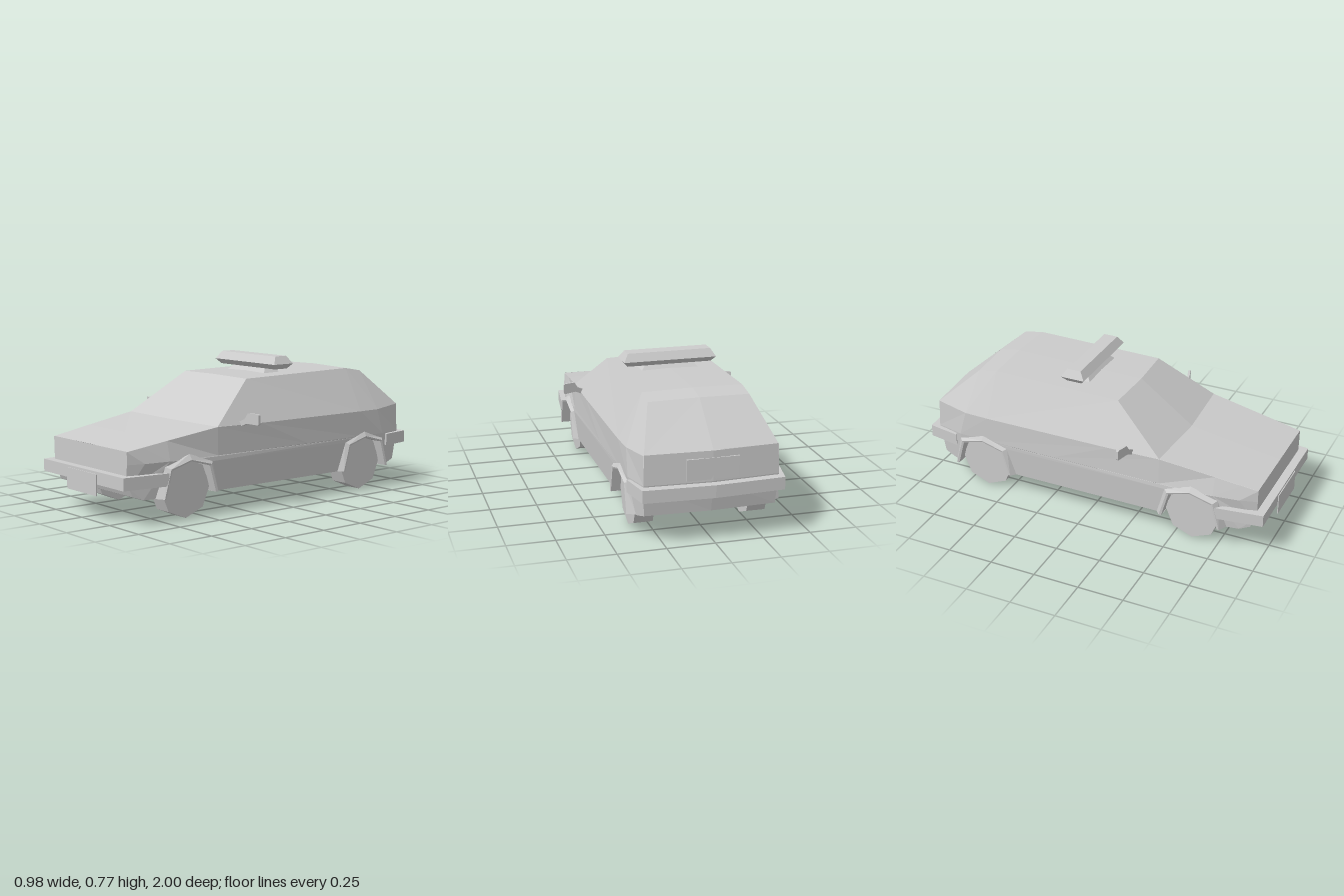
import * as THREE from 'three';
import { ConvexGeometry } from 'three/addons/geometries/ConvexGeometry.js';

const FLOOR = 0.125, CREASE = 0.31, AXLES = [0.6, -0.635];
const mat = new THREE.MeshStandardMaterial({ color: 0xcccccc, flatShading: true });
const shell = new THREE.MeshStandardMaterial({ color: 0xcccccc, flatShading: true, side: THREE.DoubleSide });

// Half width of the lower body at a given length and height
const WIDTHS = [[-0.94, 0.348], [-0.78, 0.388], [-0.2, 0.392], [0.42, 0.39], [0.72, 0.382], [0.86, 0.362], [0.95, 0.335]];
function sideX(z, y) {
  let i = 1;
  while (i < WIDTHS.length - 1 && z > WIDTHS[i][0]) i++;
  const [z0, x0] = WIDTHS[i - 1], [z1, x1] = WIDTHS[i];
  const t = THREE.MathUtils.clamp((z - z0) / (z1 - z0), 0, 1);
  return x0 + (x1 - x0) * t - 0.016 * Math.max(0, (CREASE - y) / (CREASE - FLOOR));
}

// Surface through rows of points
function sheet(rows) {
  const n = rows[0].length, index = [];
  for (let r = 0; r < rows.length - 1; r++)
    for (let c = 0; c < n - 1; c++) {
      const a = r * n + c, b = a + n;
      index.push(a, b, a + 1, a + 1, b, b + 1);
    }
  const g = new THREE.BufferGeometry();
  g.setAttribute('position', new THREE.Float32BufferAttribute(rows.flat(2), 3));
  g.setIndex(index);
  g.computeVertexNormals();
  return g;
}

// Moves every vertex of a geometry by a rule
function remap(g, rule) {
  const p = g.attributes.position;
  for (let i = 0; i < p.count; i++) p.setXYZ(i, ...rule(p.getX(i), p.getY(i), p.getZ(i)));
  g.computeVertexNormals();
  return g;
}

const shapeOf = pts => new THREE.Shape(pts.map(p => new THREE.Vector2(...p)));

// Five point wheel arch outline as [z, y]
const arch = (z, foot, shoulder, sy, top) =>
  [[z + foot, FLOOR], [z + shoulder, sy], [z, top], [z - shoulder, sy], [z - foot, FLOOR]];
const outerArch = z => arch(z, 0.19, 0.145, 0.283, 0.335 - 0.03);

// Convex block made of horizontal rectangles [halfX, y, zBack, zFront]
function block(levels) {
  const pts = [];
  for (const [x, y, z0, z1] of levels)
    for (const s of [-1, 1]) pts.push(new THREE.Vector3(s * x, y, z0), new THREE.Vector3(s * x, y, z1));
  return new ConvexGeometry(pts);
}

// Flat bumper outline in x and z, raised to a height
function bumperGeometry(half, y, height) {
  const outline = [...half, ...half.filter(p => p[0] > 0).reverse().map(([x, z]) => [-x, z])];
  const g = new THREE.ExtrudeGeometry(shapeOf(outline.map(([x, z]) => [x, -z])), { depth: height, bevelEnabled: false });
  return g.rotateX(-Math.PI / 2).translate(0, y, 0);
}

export function createModel() {
  const car = new THREE.Group();
  car.name = 'car';
  const add = (name, geometry, material = mat) => {
    const m = new THREE.Mesh(geometry, material);
    m.name = name;
    car.add(m);
    return m;
  };

  // Upper body sections: z of crease, belt corner, upper edge, centre line
  const sections = [
    [0.95, [0.335, 0.375, 0.95], [0.334, 0.376, 0.95], [0, 0.378, 0.95]],
    [0.86, [0.344, 0.389, 0.86], [0.343, 0.39, 0.86], [0, 0.392, 0.862]],
    [0.72, [0.357, 0.411, 0.72], [0.356, 0.412, 0.72], [0, 0.414, 0.727]],
    [0.42, [0.387, 0.456, 0.42], [0.386, 0.457, 0.42], [0, 0.46, 0.445]],
    [-0.2, [0.39, 0.452, 0.13], [0.266, 0.674, 0.13], [0, 0.68, 0.145]],
    [-0.6, [0.39, 0.45, -0.6], [0.266, 0.684, -0.6], [0, 0.69, -0.605]],
    [-0.78, [0.385, 0.45, -0.74], [0.266, 0.664, -0.71], [0, 0.67, -0.72]],
    [-0.935, [0.346, 0.463, -0.93], [0.345, 0.465, -0.93], [0, 0.47, -0.95]],
  ];

  for (const s of [1, -1]) {
    const side = s > 0 ? 'left' : 'right';
    add(side + 'UpperBody', sheet(sections.map(([z, ...pts]) =>
      [[sideX(z, CREASE), CREASE, z], ...pts].map(([x, y, pz]) => [s * x, y, pz]))), shell);

    // Lower flank with open wheel arches
    const flank = [[0.95, CREASE], [0.95, 0.25], [0.935, 0.19], [0.915, 0.145], [0.86, FLOOR],
      ...outerArch(AXLES[0]), ...outerArch(AXLES[1]), [-0.84, FLOOR], [-0.91, 0.145],
      ...sections.map(c => [c[0], CREASE]).slice(1).reverse()];
    add(side + 'Flank', remap(new THREE.ShapeGeometry(shapeOf(flank)),
      (z, y) => [s * sideX(z, y), y, z]), shell);

    // Floor half with notches for the wheels
    const edge = [[0, 0.86], [sideX(0.86, FLOOR), 0.86]];
    for (const a of AXLES)
      edge.push([sideX(a + 0.155, FLOOR), a + 0.155], [0.24, a + 0.155], [0.24, a - 0.155], [sideX(a - 0.155, FLOOR), a - 0.155]);
    edge.push([sideX(-0.84, FLOOR), -0.84], [0, -0.84]);
    add(side + 'Floor', remap(new THREE.ShapeGeometry(shapeOf(edge)), (x, z) => [s * x, FLOOR, z]), shell);

    AXLES.forEach((a, i) => {
      const end = i ? 'Rear' : 'Front';
      // Flared arch continuing into the wheel well
      const inner = arch(a, 0.157, 0.118, 0.266, 0.3);
      const rim = arch(a, 0.17, 0.128, 0.273, 0.308);
      const skirt = arch(a, 0.195, 0.148, 0.285, 0.336);
      const place = (pts, x) => pts.map(([z, y]) => [s * (x ?? sideX(z, y) - 0.002), y, z]);
      add(side + end + 'Arch', sheet([place(skirt), place(rim, 0.403), place(inner, 0.4), place(inner, 0.24)]), shell);
      add(side + end + 'WellWall', remap(new THREE.ShapeGeometry(shapeOf(inner)), (z, y) => [s * 0.24, y, z]), shell);

      // Eight sided wheel with a corner at the bottom
      const wheel = add(side + end + 'Wheel', new THREE.CylinderGeometry(0.154, 0.154, 0.1, 8).rotateZ(Math.PI / 2));
      wheel.position.set(s * 0.3, 0.155, a);
    });

    // Door mirror, swept back towards its tip
    const mirror = new THREE.ExtrudeGeometry(shapeOf([[0.375, 0.44], [0.42, 0.462], [0.488, 0.458], [0.491, 0.465],
      [0.491, 0.51], [0.485, 0.516], [0.427, 0.516], [0.408, 0.485], [0.375, 0.47]]), { depth: 0.014, bevelEnabled: false });
    add(side + 'Mirror', remap(mirror, (x, y, z) => [s * x, y, z + 0.255 - (x - 0.38) * 0.3]), shell);
  }

  // Nose and tail panels, each running down to the floor
  const across = (x, y, z, bow = 0) => [[-x, y, z], [0, y, z - bow], [x, y, z]];
  add('nosePanel', sheet([across(0.335, 0.377, 0.95), ...[[CREASE, 0.95], [0.25, 0.95], [0.19, 0.935], [0.145, 0.915], [FLOOR, 0.86]]
    .map(([y, z]) => across(sideX(z, y), y, z))]), shell);
  add('tailPanel', sheet([across(0.345, 0.466, -0.93, 0.02), ...[[CREASE, -0.935, 0.02], [0.145, -0.91, 0.015], [FLOOR, -0.84, 0]]
    .map(([y, z, bow]) => across(sideX(z, y), y, z, bow))]), shell);

  // Bumpers
  add('frontBumper', bumperGeometry([[0.368, 0.995], [0.402, 0.74], [0.36, 0.78]], 0.19, 0.065), shell);
  add('rearBumper', bumperGeometry([[0, -1], [0.367, -0.98], [0.4, -0.8], [0.36, -0.82]], 0.238, 0.066), shell);

  // Number plates without lettering
  add('frontPlate', new THREE.BoxGeometry(0.27, 0.112, 0.005)).position.set(0, 0.187, 0.9975);
  add('rearPlate', new THREE.BoxGeometry(0.27, 0.11, 0.01)).position.set(0, 0.375, -0.949);

  // Roof light bar on its foot
  add('lightBarFoot', block([[0.16, 0.675, -0.205, -0.085], [0.13, 0.708, -0.175, -0.115]]));
  add('lightBar', block([[0.23, 0.705, -0.187, -0.102], [0.254, 0.733, -0.212, -0.077], [0.228, 0.775, -0.185, -0.107]]));
  return car;
}
